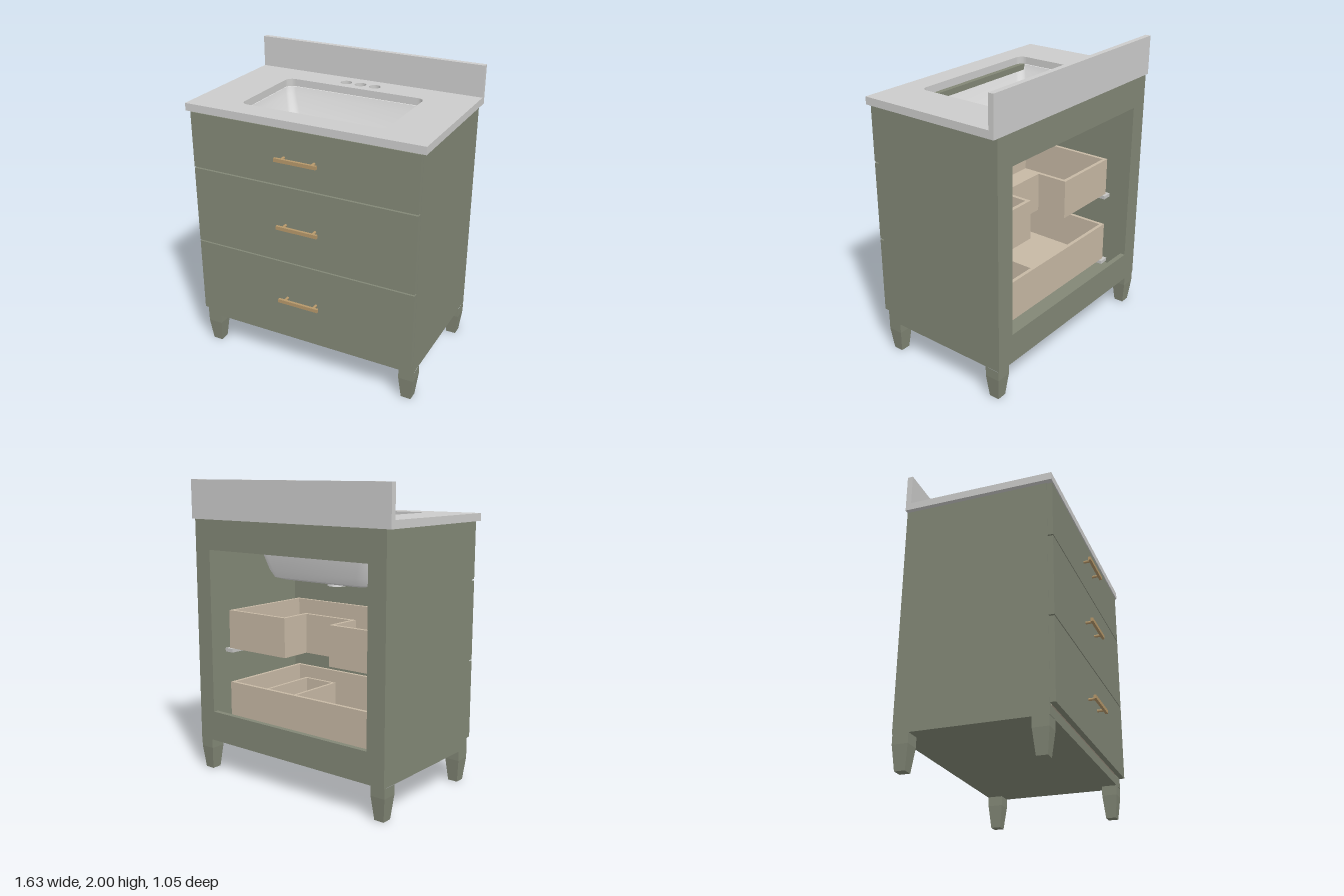
import * as THREE from 'three';
import { toCreasedNormals } from 'three/addons/utils/BufferGeometryUtils.js';

const mat = (name, color, side = THREE.FrontSide) => {
  const m = new THREE.MeshStandardMaterial({ color, side });
  m.name = name;
  return m;
};

export function createModel() {
  const green = mat('sage paint', 0x828776);
  const stone = mat('grey stone', 0xcccccb);
  const porcelain = mat('white porcelain', 0xe2e2e2, THREE.DoubleSide);
  const wood = mat('pale drawer wood', 0xc6b8a4);
  const brass = mat('brushed brass', 0xb5976a);
  const metal = mat('slide metal', 0xc4c4c2);

  const model = new THREE.Group();
  model.name = 'vanity';
  const group = (name) => {
    const g = new THREE.Group();
    g.name = name;
    model.add(g);
    return g;
  };
  const add = (parent, name, geometry, material) => {
    const m = new THREE.Mesh(geometry, material);
    m.name = name;
    parent.add(m);
    return m;
  };
  // box given by its limits on each axis
  const box = (parent, name, material, x0, x1, y0, y1, z0, z1) => {
    const g = new THREE.BoxGeometry(x1 - x0, y1 - y0, z1 - z0);
    g.translate((x0 + x1) / 2, (y0 + y1) / 2, (z0 + z1) / 2);
    return add(parent, name, g, material);
  };

  // cabinet carcass with an open back frame
  const cabinet = group('cabinet');
  for (const s of [-1, 1]) {
    const span = (a, b) => (s > 0 ? [a, b] : [-b, -a]);
    box(cabinet, 'sidePanel', green, ...span(0.75, 0.785), 0.22, 1.74, -0.525, 0.43);
    box(cabinet, 'backStile', green, ...span(0.655, 0.75), 0.425, 1.54, -0.525, -0.49);
  }
  box(cabinet, 'backTopRail', green, -0.75, 0.75, 1.54, 1.74, -0.525, -0.49);
  box(cabinet, 'backBottomRail', green, -0.75, 0.75, 0.22, 0.425, -0.525, -0.49);
  box(cabinet, 'bottomPanel', green, -0.75, 0.75, 0.22, 0.25, -0.49, 0.395);
  box(cabinet, 'frontToeRail', green, -0.75, 0.75, 0.22, 0.28, 0.395, 0.43);
  box(cabinet, 'frontStretcher', green, -0.75, 0.75, 1.7, 1.74, 0.28, 0.43);
  box(cabinet, 'backStretcher', green, -0.75, 0.75, 1.7, 1.74, -0.49, -0.31);

  // legs: square block tapering to the foot
  for (const x of [-0.735, 0.735]) {
    for (const z of [-0.47, 0.377]) {
      const profile = [[0, 0], [0.034, 0], [0.051, 0.155], [0.051, 0.22]]
        .map(([r, y]) => new THREE.Vector2(r * Math.SQRT2, y));
      const g = new THREE.LatheGeometry(profile, 4).rotateY(Math.PI / 4).toNonIndexed();
      g.computeVertexNormals();
      add(cabinet, 'leg', g, green).position.set(x, 0, z);
    }
  }

  // drawer fronts with bar handles
  const fronts = group('drawerFronts');
  for (const [y0, y1, hy] of [[0.29, 0.816, 0.553], [0.825, 1.353, 1.09], [1.362, 1.735, 1.55]]) {
    box(fronts, 'drawerFront', green, -0.783, 0.783, y0, y1, 0.43, 0.465);
    box(fronts, 'handleBar', brass, -0.145, 0.145, hy - 0.012, hy + 0.012, 0.507, 0.525);
    for (const x of [-0.105, 0.105]) {
      const post = new THREE.CylinderGeometry(0.009, 0.009, 0.045, 16).rotateX(Math.PI / 2);
      add(fronts, 'handlePost', post, brass).position.set(x, hy, 0.487);
    }
  }

  // shared drawer box: sides, front wall and runners
  const t = 0.025, W = 0.71, zb = -0.305, zf = 0.43;
  const drawer = (name, y0, y1) => {
    const g = group(name);
    for (const s of [-1, 1]) {
      const c = s * (W - t / 2);
      box(g, 'drawerSide', wood, c - t / 2, c + t / 2, y0, y1, zb, zf);
      box(g, 'slide', metal, s * 0.7 - 0.035, s * 0.7 + 0.035, y0 - 0.025, y0, zb - 0.02, 0.4);
    }
    box(g, 'drawerFrontWall', wood, -W + t, W - t, y0, y1, zf - t, zf);
    return g;
  };

  // middle drawer, notched around the plumbing
  {
    const y0 = 0.83, y1 = 1.1, n = 0.19, zn = -0.085;
    const g = drawer('middleDrawer', y0, y1);
    for (const s of [-1, 1]) {
      const span = (a, b) => (s > 0 ? [a, b] : [-b, -a]);
      box(g, 'drawerBack', wood, ...span(n, W - t), y0, y1, zb, zb + t);
      box(g, 'notchSide', wood, ...span(n, n + t), y0, y1, zb + t, zn + t);
      box(g, 'drawerBottom', wood, ...span(n, W - t), y0 + 0.005, y0 + 0.025, zb + t, zf - t);
    }
    box(g, 'notchBack', wood, -n, n, y0, y1, zn, zn + t);
    box(g, 'drawerBottom', wood, -n, n, y0 + 0.005, y0 + 0.025, zn + t, zf - t);
  }

  // lower drawer with a small compartment
  {
    const y0 = 0.3, y1 = 0.585;
    const g = drawer('lowerDrawer', y0, y1);
    box(g, 'drawerBack', wood, -W + t, W - t, y0, y1, zb, zb + t);
    box(g, 'drawerBottom', wood, -W + t, W - t, y0 + 0.005, y0 + 0.025, zb + t, zf - t);
    for (const x of [0.125, 0.375]) {
      box(g, 'divider', wood, x, x + 0.02, y0 + 0.025, y1 - 0.005, zb + t, 0.13);
    }
    box(g, 'dividerEnd', wood, 0.125, 0.395, y0 + 0.025, y1 - 0.005, 0.13, 0.15);
  }

  // rounded rectangle outline, counter-clockwise
  const cz = 0.0125;
  const outline = (hw, hd, r) => {
    const pts = [];
    for (let q = 0; q < 4; q++) {
      const sx = q === 0 || q === 3 ? 1 : -1, sy = q < 2 ? 1 : -1;
      for (let k = 0; k <= 9; k++) {
        const a = (q + k / 9) * Math.PI / 2;
        pts.push(new THREE.Vector2(sx * (hw - r) + r * Math.cos(a), sy * (hd - r) + r * Math.sin(a)));
      }
    }
    return pts;
  };

  // countertop with sink cutout and tap holes
  const top = group('countertop');
  const shape = new THREE.Shape([[-0.815, -0.47], [0.815, -0.47], [0.815, 0.525], [-0.815, 0.525]]
    .map(([x, y]) => new THREE.Vector2(x, y)));
  shape.holes.push(new THREE.Path(outline(0.5, 0.303, 0.05).map((p) => new THREE.Vector2(p.x, p.y - cz))));
  for (const x of [-0.105, 0, 0.105]) {
    shape.holes.push(new THREE.Path().absarc(x, 0.38, 0.039, 0, Math.PI * 2));
  }
  const slab = new THREE.ExtrudeGeometry(shape, { depth: 0.05, bevelEnabled: false, curveSegments: 16 });
  add(top, 'counterSlab', slab.rotateX(-Math.PI / 2).translate(0, 1.74, 0), stone);
  box(top, 'backsplash', stone, -0.815, 0.815, 1.79, 2, -0.525, -0.488);

  // basin: outside from drain collar up to the rim, then inside down to the drain
  const loops = [
    [0.065, 0.065, 0.065, 1.3], [0.065, 0.065, 0.065, 1.325], [0.36, 0.18, 0.08, 1.335],
    [0.405, 0.222, 0.08, 1.35], [0.43, 0.245, 0.08, 1.4], [0.515, 0.318, 0.06, 1.7],
    [0.515, 0.318, 0.06, 1.737], [0.5, 0.303, 0.05, 1.737], [0.495, 0.298, 0.05, 1.69],
    [0.42, 0.232, 0.07, 1.42], [0.405, 0.218, 0.07, 1.385], [0.38, 0.195, 0.07, 1.365],
    [0.34, 0.16, 0.07, 1.358], [0.062, 0.062, 0.062, 1.345], [0.05, 0.05, 0.05, 1.335],
    [0.05, 0.05, 0.05, 1.3], [0.065, 0.065, 0.065, 1.3],
  ];
  const pos = [], idx = [], N = 40;
  loops.forEach(([hw, hd, r, y], i) => {
    outline(hw, hd, r).forEach((p, j) => {
      pos.push(p.x, y, p.y + cz);
      if (i === loops.length - 1) return;
      const a = i * N + j, b = i * N + (j + 1) % N;
      idx.push(a, a + N, b, b, a + N, b + N);
    });
  });
  const basin = new THREE.BufferGeometry();
  basin.setAttribute('position', new THREE.Float32BufferAttribute(pos, 3));
  basin.setIndex(idx);
  add(model, 'sinkBasin', toCreasedNormals(basin, 0.7), porcelain);

  return model;
}
